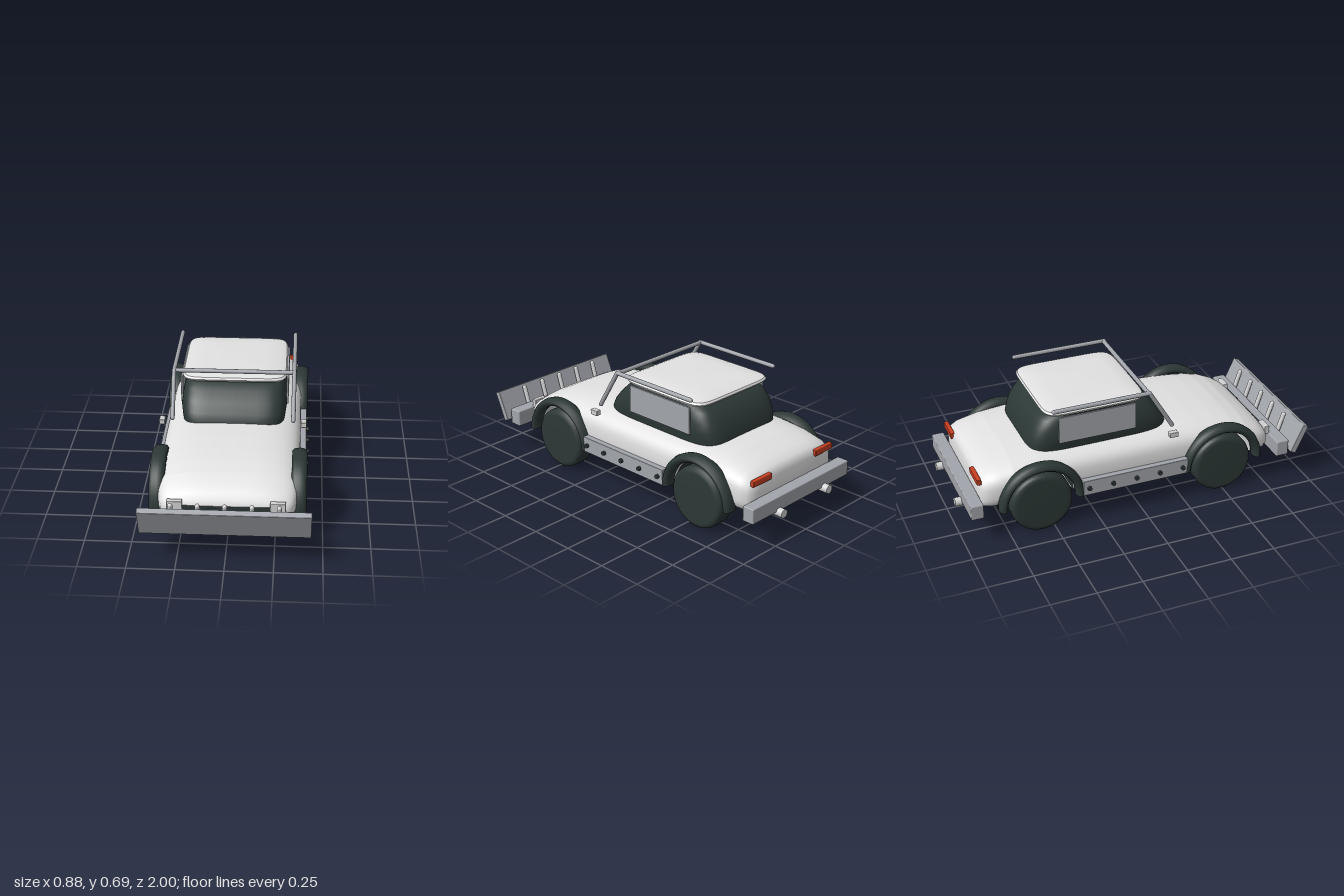
import * as THREE from 'three';
import { toCreasedNormals } from 'three/addons/utils/BufferGeometryUtils.js';
import { RoundedBoxGeometry } from 'three/addons/geometries/RoundedBoxGeometry.js';

const mat = (name, color, side = THREE.FrontSide) => {
  const m = new THREE.MeshStandardMaterial({ color, side });
  m.name = name;
  return m;
};

// Skin a list of closed rings (arrays of Vector3) and cap both ends
function loft(rings, crease = 0.6) {
  const n = rings[0].length, pos = [], idx = [];
  rings.forEach(r => r.forEach(p => pos.push(p.x, p.y, p.z)));
  for (let i = 0; i < rings.length - 1; i++) {
    for (let j = 0; j < n; j++) {
      const a = i * n + j, b = i * n + (j + 1) % n;
      idx.push(a, b, b + n, a, b + n, a + n);
    }
  }
  [0, rings.length - 1].forEach(k => {
    const c = pos.length / 3;
    const m = rings[k].reduce((s, p) => s.add(p), new THREE.Vector3()).divideScalar(n);
    pos.push(m.x, m.y, m.z);
    for (let j = 0; j < n; j++) {
      const a = k * n + j, b = k * n + (j + 1) % n;
      if (k) idx.push(c, a, b); else idx.push(c, b, a);
    }
  });
  const g = new THREE.BufferGeometry();
  g.setAttribute('position', new THREE.Float32BufferAttribute(pos, 3));
  g.setIndex(idx);
  return toCreasedNormals(g, crease);
}

// Unit superellipse point
const superPoint = (t, n) => [Math.cos(t), Math.sin(t)].map(v => Math.sign(v) * Math.abs(v) ** (2 / n));
const angles = count => Array.from({ length: count }, (_, i) => i / count * Math.PI * 2);

// Stack of rounded plan outlines: rows of [y, zFront, zRear, halfWidth]
const planLoft = (rows, n) => loft(rows.map(([y, zf, zr, hw]) => angles(64).map(t => {
  const [c, s] = superPoint(t, n);
  return new THREE.Vector3(hw * s, y, (zf + zr) / 2 + (zf - zr) / 2 * c);
})));

const AXLES = [0.49, -0.57], WHEEL_Y = 0.173, WELL_R = 0.2;

// Body stations: [z, yBottom, yTop, halfWidth]
const STATIONS = [
  [-0.895, 0.17, 0.33, 0.28], [-0.888, 0.15, 0.36, 0.32], [-0.87, 0.143, 0.378, 0.342],
  [-0.83, 0.138, 0.397, 0.358], [-0.71, 0.135, 0.422, 0.368], [-0.55, 0.135, 0.435, 0.372],
  [0.2, 0.135, 0.44, 0.374], [0.355, 0.135, 0.432, 0.372], [0.48, 0.135, 0.42, 0.37],
  [0.57, 0.135, 0.406, 0.368], [0.66, 0.135, 0.38, 0.366], [0.73, 0.138, 0.347, 0.356],
  [0.77, 0.143, 0.32, 0.342], [0.795, 0.152, 0.292, 0.318], [0.808, 0.172, 0.265, 0.28],
];

function bodyGeometry() {
  const zs = STATIONS.map(s => s[0]);
  AXLES.forEach(a => {
    for (let i = 0; i <= 24; i++) zs.push(a - WELL_R * Math.cos(i / 24 * Math.PI));
    zs.push(a - WELL_R - 0.001, a + WELL_R + 0.001);
  });
  zs.sort((a, b) => a - b);
  const rings = zs.map(z => {
    let i = 0;
    while (i < STATIONS.length - 2 && STATIONS[i + 1][0] < z) i++;
    const [p, q] = [STATIONS[i], STATIONS[i + 1]], f = (z - p[0]) / (q[0] - p[0]);
    const [yb, yt, hw] = [1, 2, 3].map(k => p[k] + (q[k] - p[k]) * f);
    // Wheel wells cut upward through the whole width
    let floor = -1;
    AXLES.forEach(a => {
      const d = Math.abs(z - a);
      if (d <= WELL_R + 1e-6) floor = WHEEL_Y + Math.sqrt(Math.max(0, WELL_R ** 2 - d * d));
    });
    const c = (yb + yt) / 2, h = (yt - yb) / 2, n = 3.2;
    return angles(64).map(t => {
      const [sx, sy] = superPoint(t, n);
      const y = Math.max(c + h * sy, floor);
      const w = hw * Math.max(0, 1 - Math.abs((y - c) / h) ** n) ** (1 / n);
      return new THREE.Vector3(Math.sign(sx) * Math.min(Math.abs(sx) * hw, w), y, z);
    });
  });
  return loft(rings);
}

export function createModel() {
  const car = new THREE.Group();
  car.name = 'armouredCar';
  const paint = mat('offWhitePaint', 0xe2e2e2);
  const dark = mat('darkRubberAndGlass', 0x2c3836, THREE.DoubleSide);
  const steel = mat('steelGrey', 0xa2a5ab);
  const pale = mat('paleMetal', 0xd2d2d2);
  const red = mat('signalRed', 0xcc4122);

  const add = (name, geo, m, x = 0, y = 0, z = 0) => {
    const mesh = new THREE.Mesh(geo, m);
    mesh.name = name;
    mesh.position.set(x, y, z);
    car.add(mesh);
    return mesh;
  };
  const box = (name, m, w, h, d, x, y, z, r = 0.004) =>
    add(name, new RoundedBoxGeometry(w, h, d, 2, r), m, x, y, z);
  const rod = (name, m, a, b, r) => {
    const [p, q] = [new THREE.Vector3(...a), new THREE.Vector3(...b)];
    const mesh = add(name, new THREE.CapsuleGeometry(r, p.distanceTo(q), 4, 12), m);
    mesh.position.copy(p).add(q).multiplyScalar(0.5);
    mesh.quaternion.setFromUnitVectors(new THREE.Vector3(0, 1, 0), q.sub(p).normalize());
  };

  // Shell, glasshouse and roof
  add('body', bodyGeometry(), paint);
  add('cabinGlass', planLoft([
    [0.41, 0.22, -0.59, 0.283], [0.44, 0.215, -0.588, 0.288], [0.48, 0.192, -0.575, 0.294],
    [0.53, 0.152, -0.556, 0.288], [0.58, 0.1, -0.52, 0.277], [0.608, 0.05, -0.48, 0.265],
    [0.62, 0, -0.44, 0.245]], 6), dark);
  add('roof', planLoft([
    [0.612, 0.05, -0.48, 0.265], [0.62, 0.068, -0.496, 0.285], [0.632, 0.075, -0.505, 0.291],
    [0.643, 0.068, -0.498, 0.283], [0.651, 0.045, -0.475, 0.255], [0.656, -0.02, -0.4, 0.18]], 8), paint);

  // Wheel profile as [radius, offset along axle]
  const tyre = new THREE.LatheGeometry([
    [0, -0.057], [0.14, -0.057], [0.158, -0.053], [0.169, -0.043], [0.173, -0.028],
    [0.173, 0.028], [0.169, 0.043], [0.158, 0.053], [0.14, 0.057], [0, 0.057],
  ].map(p => new THREE.Vector2(...p)), 40).rotateZ(Math.PI / 2);
  const flare = new THREE.TorusGeometry(0.216, 0.025, 10, 36, Math.PI).scale(1, 1, 1.7).rotateY(Math.PI / 2);

  for (const s of [-1, 1]) {
    for (const z of AXLES) {
      add('wheel', tyre, dark, s * 0.338, WHEEL_Y, z);
      add('wheelArch', flare, dark, s * 0.37, WHEEL_Y + 0.002, z);
      box('brakeCaliper', red, 0.02, 0.07, 0.035, s * 0.276, 0.255, z);
    }
    // Side armour and its bolts
    box('sideSkirt', steel, 0.045, 0.09, 0.615, s * 0.383, 0.217, -0.037);
    for (let i = 0; i < 5; i++) {
      add('skirtBolt', new THREE.CylinderGeometry(0.012, 0.012, 0.02, 12).rotateZ(Math.PI / 2),
        dark, s * 0.41, 0.217, 0.237 - i * 0.137);
    }
    box('windowArmour', steel, 0.012, 0.155, 0.44, s * 0.294, 0.54, -0.218, 0.003);
    box('mirror', pale, 0.032, 0.03, 0.05, s * 0.387, 0.433, 0.183);
    // Roof frame
    rod('framePost', steel, [s * 0.33, 0.457, 0.2], [s * 0.33, 0.68, 0.065], 0.012);
    rod('frameRail', steel, [s * 0.33, 0.68, 0.065], [s * 0.33, 0.68, -0.475], 0.012);
    // Lights and exhausts
    box('headlight', pale, 0.08, 0.05, 0.03, s * 0.265, 0.27, 0.808);
    box('tailLight', red, 0.145, 0.033, 0.025, s * 0.252, 0.343, -0.893);
    add('exhaust', new THREE.CylinderGeometry(0.024, 0.024, 0.12, 20).rotateX(Math.PI / 2),
      pale, s * 0.188, 0.163, -0.94);
  }
  rod('frameCrossbar', steel, [-0.33, 0.68, 0.06], [0.33, 0.68, 0.06], 0.012);
  add('rearWellLiner', new THREE.CylinderGeometry(0.196, 0.196, 0.66, 32, 1, true, 0, Math.PI)
    .rotateZ(Math.PI / 2), dark, 0, WHEEL_Y, AXLES[1]);

  // Bumpers, grille and ram blade
  box('grille', dark, 0.46, 0.07, 0.025, 0, 0.23, 0.81);
  box('frontBumper', steel, 0.835, 0.095, 0.075, 0, 0.203, 0.852, 0.008);
  box('rearBumper', steel, 0.79, 0.085, 0.07, 0, 0.208, -0.93, 0.006);
  box('ramBlade', steel, 0.875, 0.175, 0.035, 0, 0.252, 0.946).rotation.x = 0.42;
  for (let i = -2; i <= 2; i++) {
    rod('bladeStrut', pale, [i * 0.137, 0.215, 0.888], [i * 0.137, 0.333, 0.926], 0.013);
  }
  return car;
}
